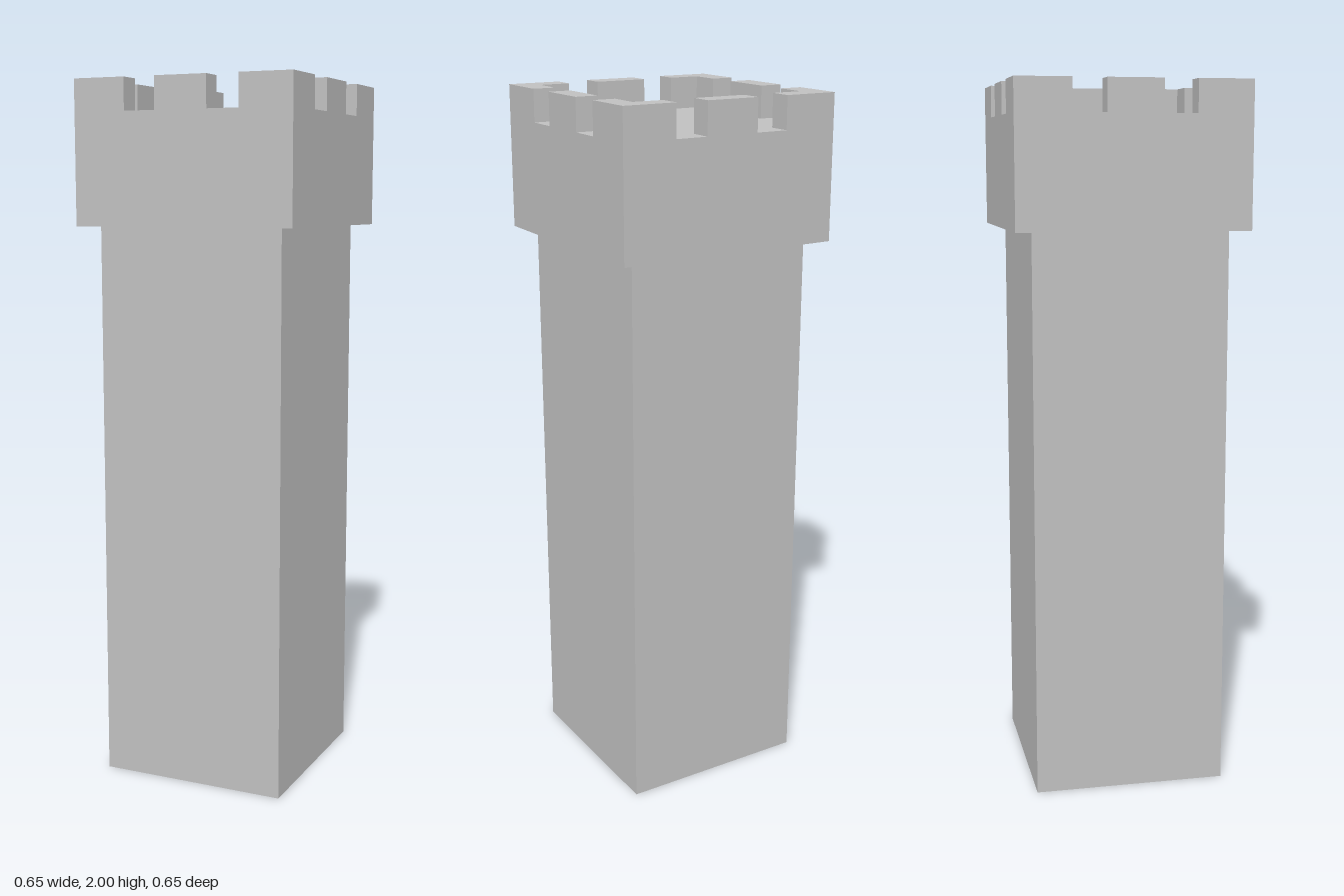
import * as THREE from 'three';

export function createModel() {
  const group = new THREE.Group();
  const stone = new THREE.MeshStandardMaterial({ color: 0xc0c0c0 });
  stone.name = 'stone grey';

  const HALF = 0.323;   // half width of the head
  const INNER = 0.258;  // inner face of the parapet
  const FLOOR = 1.91, TOP = 2;

  const add = (name, geometry, parent = group) => {
    const mesh = new THREE.Mesh(geometry, stone);
    mesh.name = name;
    parent.add(mesh);
    return mesh;
  };
  const block = (name, width, y0, y1) => {
    add(name, new THREE.BoxGeometry(width, y1 - y0, width)).position.y = (y0 + y1) / 2;
  };

  // Square shaft and wider head
  block('shaft', 0.546, 0, 1.6);
  block('head', HALF * 2, 1.6, FLOOR);

  // L-shaped corner merlon, raised from its plan
  const arm = 0.169;
  const plan = new THREE.Shape([
    [HALF, HALF], [arm, HALF], [arm, INNER], [INNER, INNER], [INNER, arm], [HALF, arm],
  ].map(([x, y]) => new THREE.Vector2(x, y)));
  const cornerGeometry = new THREE.ExtrudeGeometry(plan, { depth: TOP - FLOOR, bevelEnabled: false });
  cornerGeometry.rotateX(-Math.PI / 2).translate(0, FLOOR, 0);

  // Straight merlon in the middle of a side
  const middleGeometry = new THREE.BoxGeometry(0.154, TOP - FLOOR, HALF - INNER);
  middleGeometry.translate(0, (FLOOR + TOP) / 2, (HALF + INNER) / 2);

  // Repeat both merlons on the four sides
  const battlements = new THREE.Group();
  battlements.name = 'battlements';
  group.add(battlements);
  for (let i = 0; i < 4; i++) {
    add('cornerMerlon', cornerGeometry, battlements).rotation.y = i * Math.PI / 2;
    add('middleMerlon', middleGeometry, battlements).rotation.y = i * Math.PI / 2;
  }
  return group;
}
